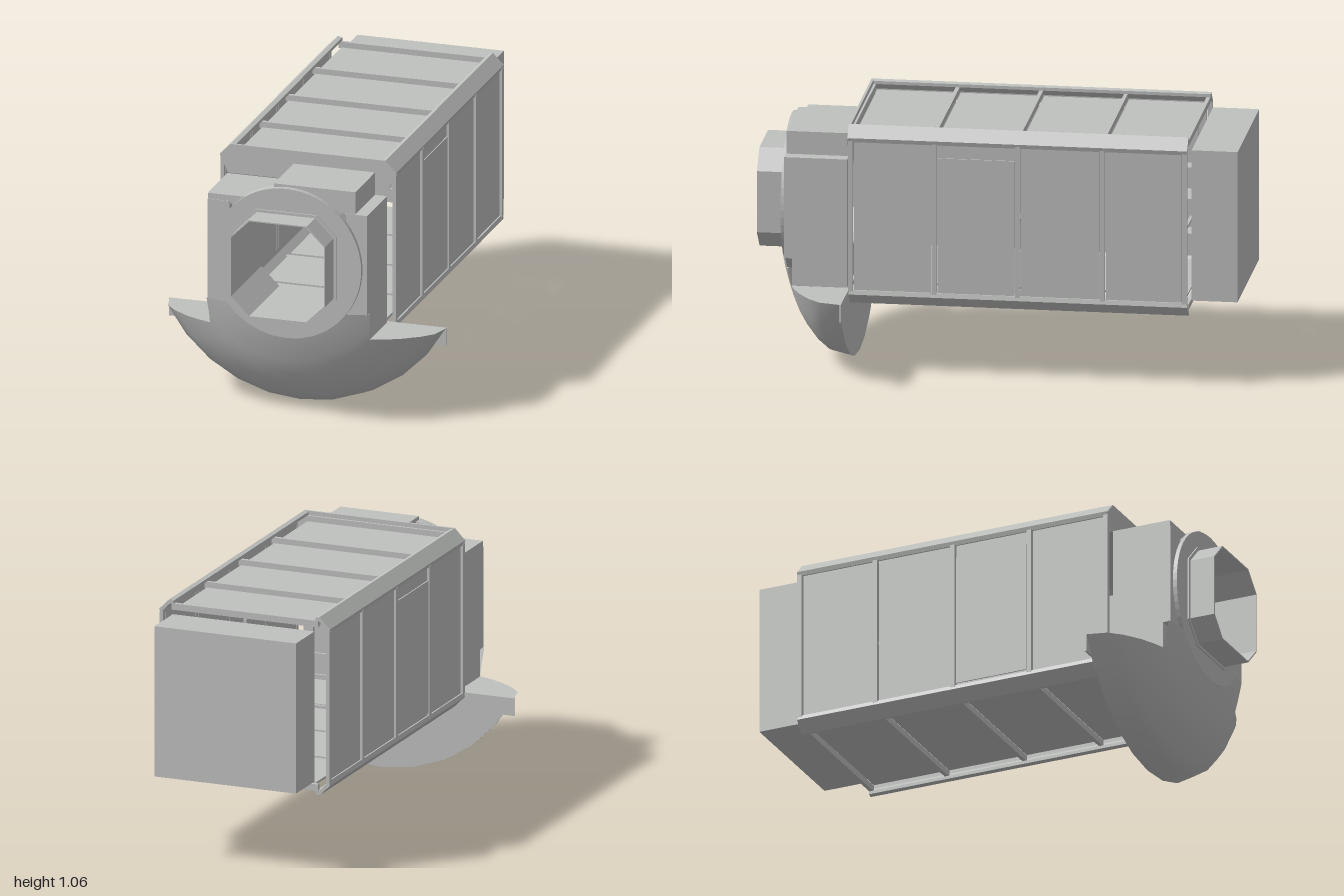
import * as THREE from 'three';

const CY = 0.68; // height of the rack's long axis

export function createModel() {
  const group = new THREE.Group();
  const grey = new THREE.MeshStandardMaterial({ color: 0xbfc1bf });
  grey.name = 'light grey';
  const greyOpen = grey; // one colour throughout
  grey.side = THREE.DoubleSide;

  const add = (name, geometry) => {
    const mesh = new THREE.Mesh(geometry, greyOpen);
    mesh.name = name;
    group.add(mesh);
    return mesh;
  };
  // Box given by its limits on each axis
  const box = (name, x0, x1, y0, y1, z0, z1) => {
    const m = add(name, new THREE.BoxGeometry(Math.abs(x1 - x0), Math.abs(y1 - y0), Math.abs(z1 - z0)));
    m.position.set((x0 + x1) / 2, (y0 + y1) / 2, (z0 + z1) / 2);
    return m;
  };
  const shapeOf = (pts) => new THREE.Shape(pts.map(([x, y]) => new THREE.Vector2(x, y)));
  const extrude = (name, shape, z0, z1, curveSegments = 12) => {
    const m = add(name, new THREE.ExtrudeGeometry(shape, { depth: z1 - z0, bevelEnabled: false, curveSegments }));
    m.position.z = z0;
    return m;
  };
  // Rectangle with cut corners, centred on the port
  const octagon = (w, h, c) => [
    [w, -h + c], [w, h - c], [w - c, h], [-w + c, h],
    [-w, h - c], [-w, -h + c], [-w + c, -h], [w - c, -h],
  ].map(([x, y]) => [x, y + 0.675]);
  const portHole = () => shapeOf(octagon(0.2, 0.205, 0.078));

  // Rear equipment box
  box('rearBox', -0.315, 0.315, 0.36, 1.0, -1, -0.81);

  // Four chamfered corner rails
  const rail = [[0.315, 0.375], [0.333, 0.38], [0.38, 0.333], [0.375, 0.315], [0.362, 0.315], [0.362, 0.33], [0.33, 0.362], [0.315, 0.362]];
  for (const sx of [-1, 1]) for (const sy of [-1, 1]) {
    extrude('cornerRail', shapeOf(rail.map(([x, y]) => [sx * x, CY + sy * y])), -0.8, 0.6);
  }

  // Ribs round the rack at each frame
  const frames = [-0.79, -0.45, -0.1, 0.245, 0.59];
  for (const z of frames) {
    for (const s of [-1, 1]) {
      box('sideRib', s * 0.362, s * 0.378, 0.36, 1.0, z - 0.01, z + 0.01);
      box('crossRib', -0.325, 0.325, CY + s * 0.335, CY + s * 0.362, z - 0.008, z + 0.008);
    }
  }
  // Thin crossed braces inside
  for (const z of [-0.79, -0.1]) {
    box('innerCrossbar', -0.36, 0.36, 0.67, 0.682, z - 0.006, z + 0.006);
    box('innerPost', -0.007, 0.007, 0.35, 1.01, z - 0.006, z + 0.006);
  }

  // Panels between the ribs
  for (let i = 0; i < 4; i++) {
    const z0 = frames[i] + 0.014, z1 = frames[i + 1] - 0.014;
    for (const s of [-1, 1]) {
      const door = i === 2;
      box('sidePanel', s * 0.362, s * 0.369, 0.365, 1.0, z0, z1);
      if (door) box('doorPanel', s * 0.368, s * 0.374, 0.375, 0.94, z0, z1);
      box('coverPanel', -0.312, 0.312, CY + s * 0.33, CY + s * 0.34, z0, z1);
    }
  }

  // Upper front end plate of the rack
  extrude('endPlate', shapeOf([[-0.345, 0.935], [0.345, 0.935], [0.38, 1.01], [0.333, 1.06], [-0.333, 1.06], [-0.38, 1.01]]), 0.592, 0.602);

  // Small equipment boxes seen through the port
  for (const [x0, x1, y0, y1] of [
    [-0.08, -0.01, 0.73, 0.83], [0.035, 0.19, 0.685, 0.755], [-0.16, -0.105, 0.615, 0.668],
    [-0.095, -0.045, 0.615, 0.668], [0.045, 0.13, 0.625, 0.668], [-0.12, -0.015, 0.515, 0.585], [0.015, 0.115, 0.515, 0.585],
  ]) box('innerBox', x0, x1, y0, y1, -0.81, -0.72);

  // Front section with the port passing through it
  const body = shapeOf([[-0.345, 0.365], [0.342, 0.365], [0.342, 0.91], [-0.345, 0.91]]);
  body.holes.push(portHole());
  extrude('frontBody', body, 0.608, 0.835);
  box('topBox', -0.06, 0.29, 0.91, 1.007, 0.608, 0.865);
  box('upperBox', -0.345, -0.06, 0.9, 0.935, 0.608, 0.865);
  box('cheekBox', -0.345, -0.25, 0.48, 0.91, 0.82, 0.868);
  box('cheekBox', 0.25, 0.342, 0.48, 0.91, 0.82, 0.868);

  // Round face plate
  const disc = new THREE.Shape();
  disc.absarc(0, 0.675, 0.322, 0, Math.PI * 2);
  disc.holes.push(portHole());
  extrude('facePlate', disc, 0.835, 0.886, 32);

  // Port collar
  const collar = shapeOf(octagon(0.205, 0.21, 0.08));
  collar.holes.push(portHole());
  extrude('portCollar', collar, 0.88, 1.0);
  const lip = shapeOf(octagon(0.218, 0.222, 0.086));
  lip.holes.push(portHole());
  extrude('portLip', lip, 0.88, 0.892);

  // Bowl: a dome about the port axis, clipped off level at the top
  const AX = 0.67, CUT = 0.365;
  const profile = [[0.32, 0.886], [0.36, 0.875], [0.4, 0.861], [0.43, 0.85], [0.46, 0.838], [0.5, 0.819],
    [0.55, 0.79], [0.61, 0.74], [0.65, 0.69], [0.668, 0.61]];
  const halfAngle = (r) => {
    if (r <= 0.4) return Math.acos(0.19 / r);
    if (r < 0.46) return Math.asin(0.345 / r);
    return Math.acos((AX - CUT) / r);
  };
  const SEG = 10, pos = [], idx = [], rim = [];
  profile.forEach(([r, z], i) => {
    for (let j = 0; j <= SEG; j++) {
      const a = halfAngle(r) * (2 * j / SEG - 1);
      const x = r * Math.sin(a), y = AX - r * Math.cos(a);
      pos.push(x, y, z);
      if (i === profile.length - 1) rim.push([x, y]);
      if (i && j) {
        const q = i * (SEG + 1) + j, p = q - SEG - 1;
        idx.push(p - 1, q - 1, q, p - 1, q, p);
      }
    }
  });
  const bowl = new THREE.BufferGeometry();
  bowl.setAttribute('position', new THREE.Float32BufferAttribute(pos, 3));
  bowl.setIndex(idx);
  bowl.computeVertexNormals();
  add('bowl', bowl);

  // Bowl's flat back and level top ledges
  extrude('bowlBack', shapeOf(rim), 0.604, 0.61);
  for (const s of [-1, 1]) {
    const edge = profile.filter(([r]) => r >= 0.46)
      .map(([r, z]) => [s * Math.sqrt(r * r - (AX - CUT) ** 2), -z]);
    const ledge = add('bowlLedge', new THREE.ShapeGeometry(shapeOf([[s * 0.345, -0.61], ...edge])));
    ledge.rotation.x = -Math.PI / 2;
    ledge.position.y = CUT;
  }
  box('bowlFlange', -0.597, 0.597, 0.29, CUT, 0.598, 0.606);

  return group;
}
